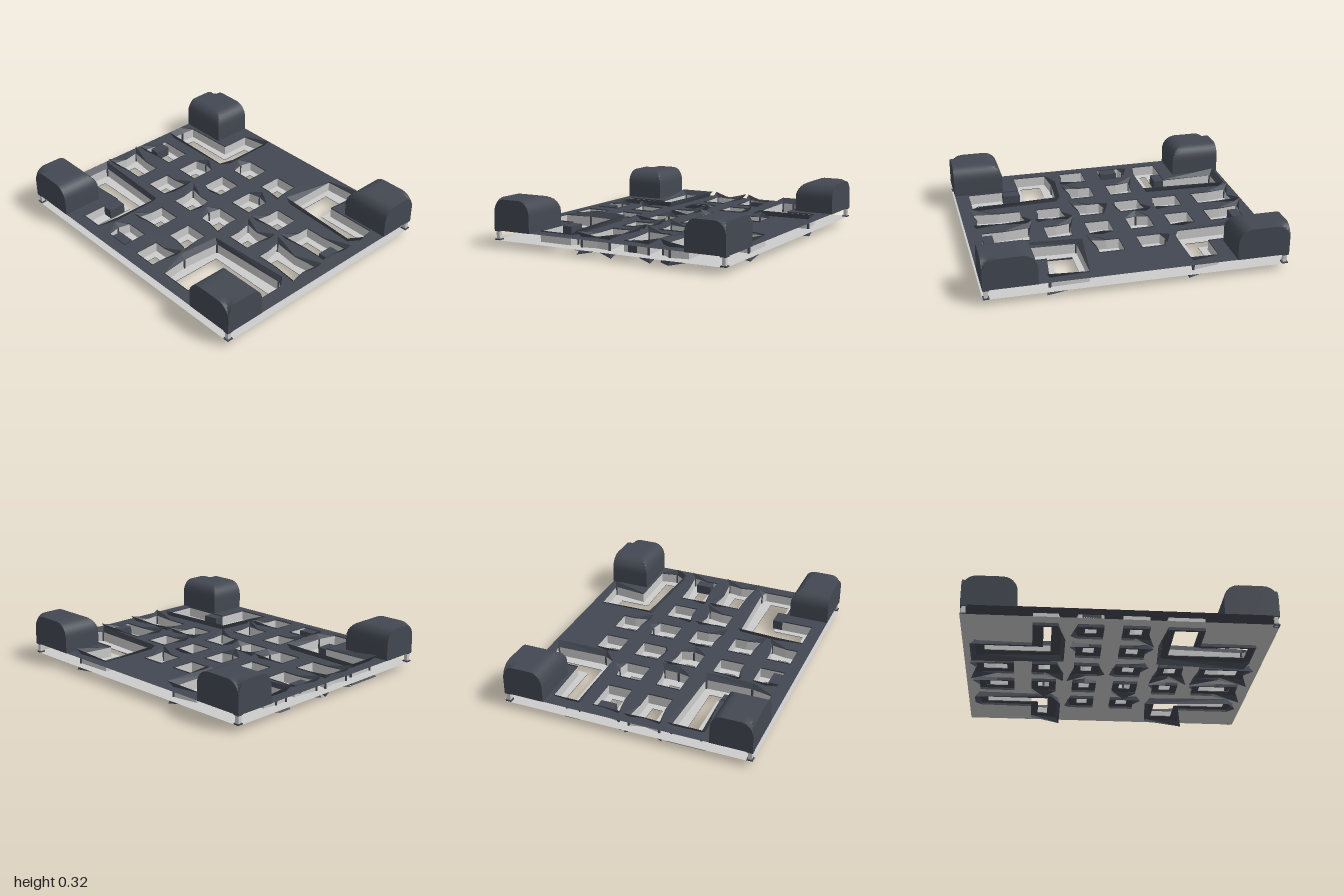
import * as THREE from 'three';
import { toCreasedNormals } from 'three/addons/utils/BufferGeometryUtils.js';

const FLOOR = 0.045, ROOF = 0.112, CURB_TOP = 0.15;

const mat = (name, color) => {
  const m = new THREE.MeshStandardMaterial({ color, side: THREE.DoubleSide });
  m.name = name;
  return m;
};

// Small square blocks: centre x, back z, front z, corners or sides that flare out
const BLOCKS = [
  [-0.11, -0.92, -0.67, 'NW NE'], [0.175, -0.91, -0.67, 'NW'],
  [-0.11, -0.55, -0.38, 'SE S'], [0.175, -0.55, -0.38, 'E'],
  [-0.685, -0.265, -0.1, 'N'], [-0.4, -0.265, -0.1, 'NW'], [-0.11, -0.265, -0.1, 'NE S'],
  [0.175, -0.265, -0.1, 'W'], [0.46, -0.265, -0.1, 'N'],
  [-0.685, 0.02, 0.19, 'SE'], [-0.4, 0.02, 0.19, 'SW'], [-0.11, 0.02, 0.19, 'N SW'],
  [0.175, 0.02, 0.19, 'E'], [0.46, 0.02, 0.19, 'SW'],
  [-0.11, 0.305, 0.475, 'NE SE'], [0.175, 0.305, 0.475, 'NW'],
  [-0.11, 0.59, 0.9, 'NE SE SW'], [0.175, 0.59, 0.9, 'NW SE'],
];

// L-shaped blocks: outline points x, z (then the flared curb point), and inner opening
const ELLS = [
  { outline: [[-0.49, -0.92, -0.53, -0.95], [-0.29, -0.92, -0.27, -0.95], [-0.31, -0.37, -0.3, -0.34],
    [-0.63, -0.36, -0.63, -0.34], [-0.77, -0.39], [-0.77, -0.55], [-0.48, -0.55]],
    opening: [[-0.43, -0.86], [-0.36, -0.86], [-0.36, -0.43], [-0.72, -0.43], [-0.72, -0.48], [-0.43, -0.48]] },
  { outline: [[0.35, -0.92, 0.34, -0.95], [0.44, -0.92, 0.44, -0.95], [0.54, -0.91], [0.55, -0.55],
    [0.76, -0.55], [0.79, -0.37, 0.81, -0.34], [0.43, -0.36, 0.43, -0.34], [0.36, -0.4]],
    opening: [[0.43, -0.86], [0.5, -0.86], [0.5, -0.5], [0.71, -0.5], [0.71, -0.43], [0.43, -0.43]] },
  { outline: [[-0.77, 0.305], [-0.58, 0.285, -0.58, 0.26], [-0.31, 0.305, -0.3, 0.28],
    [-0.285, 0.86, -0.265, 0.87], [-0.31, 0.905], [-0.55, 0.905], [-0.55, 0.54], [-0.77, 0.54]],
    opening: [[-0.72, 0.35], [-0.36, 0.35], [-0.36, 0.86], [-0.5, 0.86], [-0.5, 0.5], [-0.72, 0.5]] },
  { outline: [[0.38, 0.31, 0.38, 0.27], [0.78, 0.31], [0.79, 0.57, 0.81, 0.59], [0.55, 0.54], [0.55, 0.9],
    [0.43, 0.92, 0.43, 0.94], [0.355, 0.87, 0.34, 0.88]],
    opening: [[0.43, 0.35], [0.71, 0.35], [0.71, 0.5], [0.5, 0.5], [0.5, 0.86], [0.43, 0.86]] },
];

// Turn a square block into an eight-point outline with its flares
function squareBlock([cx, z0, z1, code]) {
  const flares = code.split(' ');
  const cz = (z0 + z1) / 2, hx = 0.085, hz = (z1 - z0) / 2;
  const dirs = { NW: [-1, -1], N: [0, -1], NE: [1, -1], E: [1, 0], SE: [1, 1], S: [0, 1], SW: [-1, 1], W: [-1, 0] };
  const outline = Object.entries(dirs).map(([k, [dx, dz]]) => {
    const x = cx + dx * hx, z = cz + dz * hz;
    if (!flares.includes(k)) return [x, z];
    return [x + dx * 0.02, z + dz * 0.02, x + dx * 0.045, z + dz * 0.045];
  });
  const ix = 0.037, iz = hz - 0.046;
  const opening = [[-1, -1], [1, -1], [1, 1], [-1, 1]].map(([a, b]) => [cx + a * ix, cz + b * iz]);
  return { outline, opening };
}

// Flat horizontal sheet with holes
function sheet(outline, holes, y) {
  const pts = (list) => list.map((p) => new THREE.Vector2(p[0], -p[1]));
  const shape = new THREE.Shape(pts(outline));
  shape.holes = holes.map((h) => new THREE.Path(pts(h)));
  return new THREE.ShapeGeometry(shape).rotateX(-Math.PI / 2).translate(0, y, 0);
}

// Closed band of quads between two loops of [x, y, z]
function band(lower, upper) {
  const v = [];
  lower.forEach((a, i) => {
    const j = (i + 1) % lower.length;
    v.push(...a, ...upper[i], ...lower[j], ...lower[j], ...upper[i], ...upper[j]);
  });
  const g = new THREE.BufferGeometry();
  g.setAttribute('position', new THREE.Float32BufferAttribute(v, 3));
  g.computeVertexNormals();
  return g;
}

// Corner hood: two half vaults meeting in a bend, open sides toward +x and +z
function hoodGeometry() {
  const n = 20, hx = 0.14, hz = 0.175, pos = [], idx = [];
  const arch = (t) => {
    const k = Math.max(0, (Math.abs(t) - 0.45) / 0.55);
    return 0.22 + 0.098 * Math.sqrt(Math.max(0, 1 - k * k));
  };
  const at = (i) => Math.sin((Math.min(n, Math.max(0, i)) / n - 0.5) * Math.PI);
  for (let i = -1; i <= n + 1; i++) for (let j = -1; j <= n + 1; j++) {
    const u = at(i), w = at(j), a = arch(u), b = arch(w);
    let y = u < 0 ? (w < 0 ? Math.min(a, b) : a) : (w < 0 ? b : Math.max(a, b));
    if (i < 0 || j < 0 || i > n || j > n) y = 0.11;
    pos.push(0.712 + u * hx, y, 0.825 + w * hz);
  }
  const s = n + 3;
  for (let i = 0; i < s - 1; i++) for (let j = 0; j < s - 1; j++) {
    const a = i * s + j;
    idx.push(a, a + 1, a + s, a + s, a + 1, a + s + 1);
  }
  const g = new THREE.BufferGeometry();
  g.setAttribute('position', new THREE.Float32BufferAttribute(pos, 3));
  g.setIndex(idx);
  return g;
}

export function createModel() {
  const group = new THREE.Group();
  const dark = mat('slate', 0x434852), light = mat('pale grey', 0xcccccc);
  const add = (name, geo, material) => {
    const m = new THREE.Mesh(geo, material);
    m.name = name;
    group.add(m);
    return m;
  };

  const cells = [...BLOCKS.map(squareBlock), ...ELLS];
  const border = [[-0.852, -1], [0.852, -1], [0.852, 1], [-0.852, 1]];
  const outlines = cells.map((c) => c.outline);

  // Roof and floor sheets
  add('roof', sheet(border, outlines, ROOF), dark);
  add('floor', sheet(border, outlines, FLOOR), light);

  // Block walls, floor rims and flared curbs above and below
  for (const { outline, opening } of cells) {
    const level = (y) => outline.map(([x, z]) => [x, y, z]);
    const flare = (near, far) => outline.map(([x, z, fx, fz]) => (fx === undefined ? [x, near, z] : [fx, far, fz]));
    add('blockWall', band(level(FLOOR), level(ROOF)), light);
    add('blockRim', sheet(outline, [opening], FLOOR), light);
    add('blockRimUnderside', sheet(outline, [opening], FLOOR - 0.004), dark);
    add('upperCurb', band(level(ROOF), flare(ROOF + 0.008, CURB_TOP)), dark);
    add('lowerCurb', band(flare(FLOOR - 0.02, 0), level(FLOOR)), dark);
    // Slim pillars at the flared corners
    for (const [x, z, fx, fz] of outline) {
      if (fx === undefined) continue;
      const pillar = new THREE.CylinderGeometry(0.009, 0.009, ROOF - FLOOR, 4);
      add('cornerPillar', pillar.translate(x, (ROOF + FLOOR) / 2, z), dark);
    }
  }

  // Solid bays that fill part of a block
  for (const [x, z, w, d] of [[-0.54, -0.515, 0.12, 0.07], [0.175, -0.875, 0.11, 0.07],
    [-0.735, -0.18, 0.07, 0.12], [-0.515, 0.6, 0.07, 0.12], [0.175, 0.867, 0.11, 0.07]]) {
    add('bay', new THREE.BoxGeometry(w, ROOF - FLOOR, d).translate(x, (ROOF + FLOOR) / 2, z), dark);
  }

  // Corner hoods and the posts under them
  for (const sx of [-1, 1]) for (const sz of [-1, 1]) {
    const g = hoodGeometry().scale(sx, 1, sz);
    if (sx * sz < 0) g.setIndex([...g.index.array].reverse());
    add('cornerHood', toCreasedNormals(g, 0.6), dark);
    const x = sx * 0.832, z = sz * 0.978;
    add('cornerPost', new THREE.BoxGeometry(0.025, ROOF - FLOOR, 0.025).translate(x, (ROOF + FLOOR) / 2, z), light);
    for (const y of [FLOOR + 0.004, ROOF - 0.004]) {
      add('postCap', new THREE.BoxGeometry(0.04, 0.008, 0.04).translate(x, y, z), dark);
    }
  }
  return group;
}
